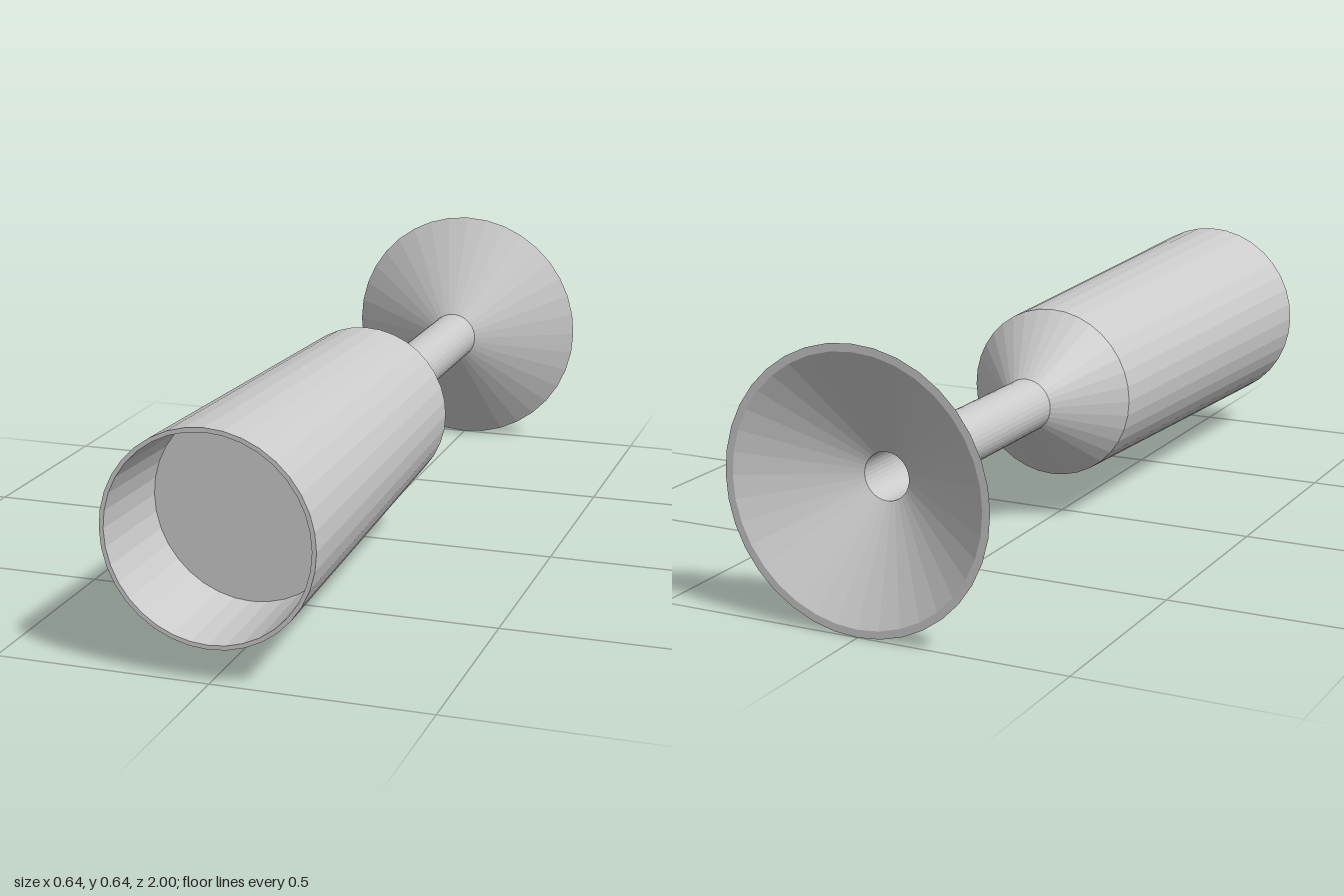
import * as THREE from 'three';

const SIDES = 36;
const AXIS_HEIGHT = 0.32;

// Turn [radius, z] pairs into a solid of revolution lying along z
function turned(name, profile, material) {
  const points = profile.map(([r, z]) => new THREE.Vector2(r, z));
  const geometry = new THREE.LatheGeometry(points, SIDES);
  geometry.rotateX(Math.PI / 2);
  const mesh = new THREE.Mesh(geometry, material);
  mesh.name = name;
  mesh.position.y = AXIS_HEIGHT;
  return mesh;
}

export function createModel() {
  const group = new THREE.Group();
  group.name = 'stemGlass';
  const material = new THREE.MeshStandardMaterial({ color: 0xcccccc, flatShading: true });

  // Thin hollow shell: foot, stem and bowl, outside forward then inside back
  group.add(turned('glassShell', [
    [0.321, -1], [0.065, -0.86], [0.065, -0.2], [0.21, -0.06], [0.243, 1],
    [0.233, 1], [0.2, -0.055], [0.055, -0.2], [0.055, -0.865], [0.303, -1], [0.321, -1],
  ], material));

  // Filling, whose flat face closes the bowl a little way below its lip
  group.add(turned('filling', [
    [0, -0.2], [0.055, -0.2], [0.2, -0.055], [0.226, 0.75], [0, 0.75],
  ], material));

  return group;
}
